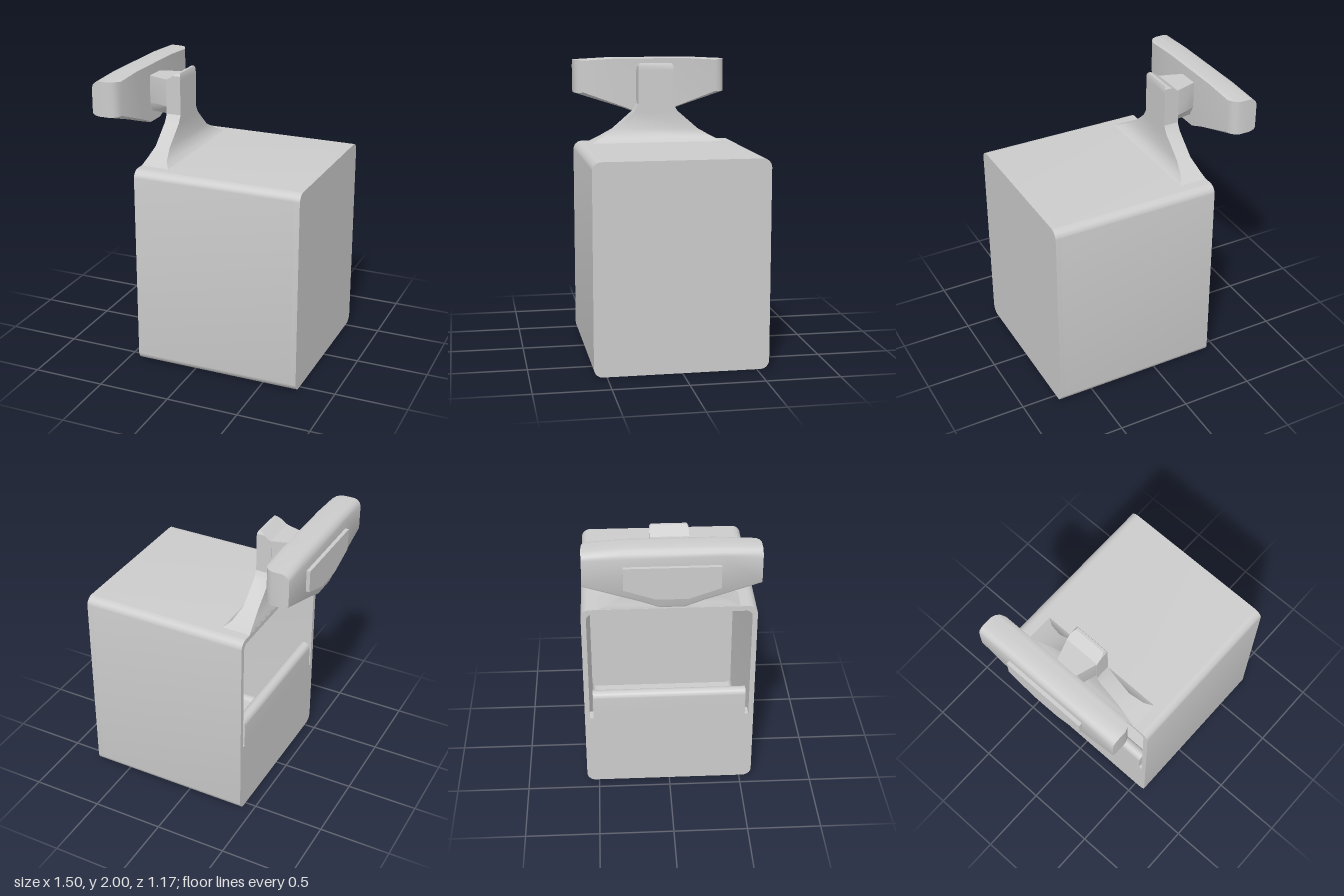
import * as THREE from 'three';
import { toCreasedNormals } from 'three/addons/utils/BufferGeometryUtils.js';

const material = new THREE.MeshStandardMaterial({ color: 0xcccccc, side: THREE.DoubleSide });

// Skins a series of rings (arrays of [x, y, z]) and closes both ends.
function loft(rings, crease = 0.5) {
  const n = rings[0].length;
  const pos = rings.flat(2);
  const index = [];
  for (let r = 0; r < rings.length - 1; r++) {
    for (let i = 0; i < n; i++) {
      const a = r * n + i, b = r * n + (i + 1) % n;
      index.push(a, b, b + n, a, b + n, a + n);
    }
  }
  const last = (rings.length - 1) * n;
  for (let i = 1; i < n - 1; i++) {
    index.push(0, i + 1, i, last, last + i, last + i + 1);
  }
  // Signed volume tells whether the winding must be flipped
  const p = (i) => new THREE.Vector3().fromArray(pos, i * 3);
  let volume = 0;
  for (let i = 0; i < index.length; i += 3) {
    volume += p(index[i]).dot(p(index[i + 1]).cross(p(index[i + 2])));
  }
  if (volume < 0) index.reverse();
  const g = new THREE.BufferGeometry();
  g.setAttribute('position', new THREE.Float32BufferAttribute(pos, 3));
  g.setIndex(index);
  return toCreasedNormals(g, crease);
}

// Rounded rectangle in the z-y plane, centred on z = 0
function roundedRect(Type, w, y0, y1, r) {
  const s = new Type();
  s.moveTo(-w + r, y0);
  s.lineTo(w - r, y0);
  s.absarc(w - r, y0 + r, r, -Math.PI / 2, 0);
  s.absarc(w - r, y1 - r, r, 0, Math.PI / 2);
  s.absarc(-w + r, y1 - r, r, Math.PI / 2, Math.PI);
  s.absarc(-w + r, y0 + r, r, Math.PI, Math.PI * 1.5);
  return s;
}

// Extrudes a z-y shape along x from x0 to x1
function extrudeX(shape, x0, x1) {
  const g = new THREE.ExtrudeGeometry(shape, { depth: x1 - x0, bevelEnabled: false, curveSegments: 6 });
  g.rotateY(Math.PI / 2).translate(x0, 0, 0);
  return toCreasedNormals(g, 0.5);
}

export function createModel() {
  const model = new THREE.Group();
  const add = (name, geometry, parent = model) => {
    const m = new THREE.Mesh(geometry, material);
    m.name = name;
    parent.add(m);
    return m;
  };

  // Hollow container: four walls as a sleeve, plus the closed end
  const body = new THREE.Group();
  body.name = 'container';
  model.add(body);
  const ring = roundedRect(THREE.Shape, 0.585, 0, 1.41, 0.06);
  ring.holes.push(roundedRect(THREE.Path, 0.55, 0.035, 1.375, 0.04));
  add('containerWalls', extrudeX(ring, -0.42, 0.72), body);
  add('containerEnd', extrudeX(roundedRect(THREE.Shape, 0.585, 0, 1.41, 0.06), 0.715, 0.75), body);

  // Low panel under the opening, with a rounded lip set in from the walls
  const panel = (name, halfWidth, y0, y1, round) => {
    const s = new THREE.Shape();
    s.moveTo(-0.42, y0);
    s.lineTo(-0.34, y0);
    if (round) s.absarc(-0.38, y1 - 0.04, 0.04, 0, Math.PI);
    else s.lineTo(-0.34, y1).lineTo(-0.42, y1);
    const g = new THREE.ExtrudeGeometry(s, { depth: halfWidth * 2, bevelEnabled: false, curveSegments: 10 });
    g.translate(0, 0, -halfWidth);
    add(name, toCreasedNormals(g, 0.5), body);
  };
  panel('frontPanel', 0.56, 0.02, 0.54, false);
  panel('frontLip', 0.525, 0.54, 0.74, true);

  // Neck: flared foot rising into an upright post [y, xMin, xMax, halfWidth]
  const neckSections = [
    [1.395, -0.42, -0.2, 0.5], [1.415, -0.418, -0.23, 0.46], [1.44, -0.41, -0.262, 0.41],
    [1.5, -0.395, -0.29, 0.305], [1.63, -0.395, -0.29, 0.155], [1.68, -0.395, -0.29, 0.127],
    [1.915, -0.395, -0.29, 0.127], [1.95, -0.345, -0.29, 0.127], [1.97, -0.315, -0.297, 0.115],
  ];
  add('neck', loft(neckSections.map(([y, x0, x1, w]) => [
    [x0, y, -w], [x1, y, -w], [x1, y, w], [x0, y, w],
  ])));

  // Tapered arm from the post to the head [x, halfWidth, sideBottom]
  add('arm', loft([[-0.3, 0.125, 1.67], [-0.39, 0.125, 1.73], [-0.56, 0.07, 1.73]].map(([x, w, y]) => [
    [x, 1.92, -w], [x, 1.92, w], [x, y, w], [x, 1.66, w * 0.5], [x, 1.66, -w * 0.5], [x, y, -w],
  ])));

  // Head: wide block with a shallow V underside [x, width scale, edge inset]
  const half = [[0.3, 1.998], [0.56, 1.985], [0.56, 1.745], [0.2, 1.63], [0.08, 1.585]];
  const outline = [...half, ...half.map(([z, y]) => [-z, y]).reverse()];
  const headSections = [
    [-0.725, 1, 0.05], [-0.718, 1, 0.025], [-0.7, 1, 0.008], [-0.68, 1, 0],
    [-0.61, 1, 0], [-0.58, 0.98, 0], [-0.56, 0.945, 0], [-0.545, 0.88, 0.005],
  ];
  add('head', loft(headSections.map(([x, s, inset]) => outline.map(([z, y]) => [
    x, y + (y > 1.9 ? -inset : inset * 0.5), z * s,
  ])), 0.6));

  // Thin raised pad on the outer face of the head
  const padHalf = [[0.305, 1.89], [0.305, 1.74], [0.1, 1.67]];
  const pad = [...padHalf, ...padHalf.map(([z, y]) => [-z, y]).reverse()];
  add('pad', loft([-0.75, -0.715].map((x) => pad.map(([z, y]) => [x, y, z]))));

  return model;
}
